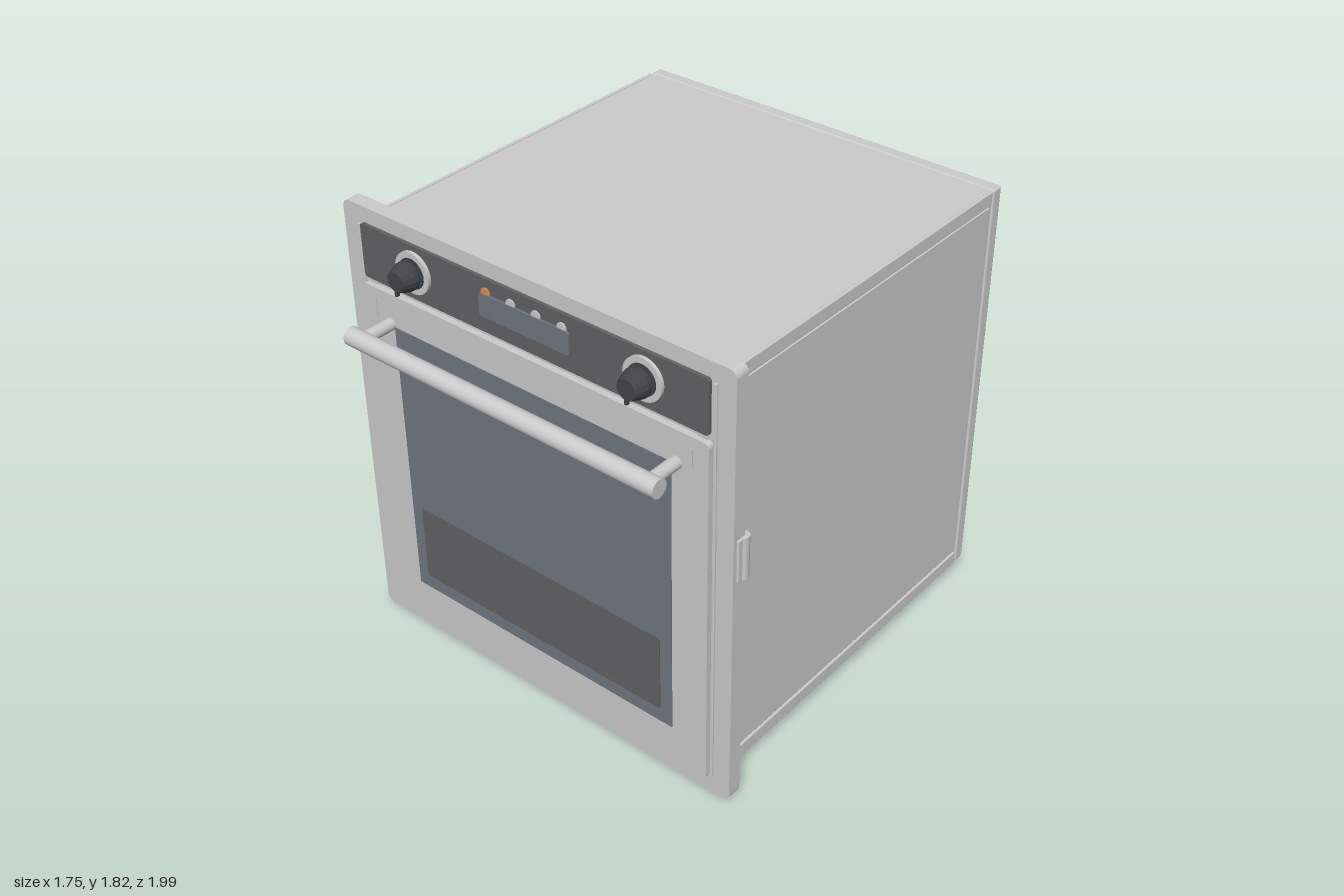
import * as THREE from 'three';
import { RoundedBoxGeometry } from 'three/addons/geometries/RoundedBoxGeometry.js';

const mat = (color) => new THREE.MeshStandardMaterial({ color });
const grey = mat(0xcccccc);
const dark = mat(0x606264);
const black = mat(0x414548);
const glass = mat(0x6e777f);
const orange = mat(0xe08a4a);

export function createModel() {
  const model = new THREE.Group();

  const add = (name, geometry, material, x = 0, y = 0, z = 0) => {
    const mesh = new THREE.Mesh(geometry, material);
    mesh.name = name;
    mesh.position.set(x, y, z);
    model.add(mesh);
    return mesh;
  };

  // box given by its limits on each axis, with softened edges
  const box = (name, material, [x0, x1], [y0, y1], [z0, z1], r = 0.004) =>
    add(name, new RoundedBoxGeometry(x1 - x0, y1 - y0, z1 - z0, 2, r), material,
      (x0 + x1) / 2, (y0 + y1) / 2, (z0 + z1) / 2);

  // upright plate with rounded corners
  const plate = (name, material, [x0, x1], [y0, y1], [z0, z1], r) => {
    const s = new THREE.Shape();
    s.absarc(x1 - r, y1 - r, r, 0, Math.PI / 2);
    s.absarc(x0 + r, y1 - r, r, Math.PI / 2, Math.PI);
    s.absarc(x0 + r, y0 + r, r, Math.PI, Math.PI * 1.5);
    s.absarc(x1 - r, y0 + r, r, Math.PI * 1.5, Math.PI * 2);
    const g = new THREE.ExtrudeGeometry(s, { depth: z1 - z0, bevelEnabled: false, curveSegments: 6 });
    return add(name, g, material, 0, 0, z0);
  };

  // cylinder running along z
  const zCylinder = (name, material, r, x, y, z0, z1, sides = 24) =>
    add(name, new THREE.CylinderGeometry(r, r, z1 - z0, sides).rotateX(Math.PI / 2),
      material, x, y, (z0 + z1) / 2);

  // cabinet
  box('cabinet', grey, [-0.783, 0.783], [0.083, 1.752], [-0.77, 0.745]);
  box('backFrame', grey, [-0.79, 0.79], [0.078, 1.757], [-0.815, -0.762], 0.01);
  for (const s of [-1, 1]) {
    const side = [s * 0.785 - 0.007, s * 0.785 + 0.007];
    box('sidePanel', grey, [s * 0.782 - 0.006, s * 0.782 + 0.006], [0.14, 1.695], [-0.75, 0.735]);
    box('topRail', grey, side, [1.703, 1.757], [-0.752, 0.737]);
    box('bottomRail', grey, side, [0.078, 0.132], [-0.752, 0.737]);
  }

  // rear cover with stiffening strips
  box('rearCover', dark, [-0.745, 0.745], [0.165, 1.67], [-0.855, -0.81], 0.01);
  for (const y of [0.33, 0.89, 1.45])
    box('rearStrip', grey, [-0.65, 0.65], [y - 0.026, y + 0.026], [-0.88, -0.85]);

  // power cable and its gland
  zCylinder('cableGland', grey, 0.042, 0.545, 0.58, -0.876, -0.85);
  const bend = [[0.545, 0.58, -0.86], [0.595, 0.26, -0.975], [0.455, 0.012, -0.922]]
    .map((p) => new THREE.Vector3(...p));
  const cablePath = new THREE.CurvePath();
  cablePath.add(new THREE.LineCurve3(bend[0], bend[1]));
  cablePath.add(new THREE.LineCurve3(bend[1], bend[2]));
  add('cable', new THREE.TubeGeometry(cablePath, 24, 0.02, 10), black);
  add('cableEnd', new THREE.SphereGeometry(0.02, 10, 8), black, ...bend[2].toArray()).scale.y = 0.6;

  // front frame with side trims, latches and feet
  plate('frontFrame', grey, [-0.86, 0.86], [0.02, 1.815], [0.742, 0.8], 0.03);
  for (const s of [-1, 1]) {
    box('sideTrim', grey, [s * 0.784 - 0.006, s * 0.784 + 0.006], [0.1, 1.745], [0.79, 0.808], 0.002);
    box('trimLink', grey, [s * 0.735 - 0.02, s * 0.735 + 0.02], [1.5, 1.57], [0.79, 0.806], 0.002);
    add('latchBarrel', new THREE.CylinderGeometry(0.025, 0.025, 0.17, 16), grey, s * 0.852, 1.085, 0.745);
    box('latchPlate', grey, [s * 0.85 - 0.018, s * 0.85 + 0.018], [1.0, 1.17], [0.74, 0.785]);
    add('foot', new THREE.CylinderGeometry(0.023, 0.023, 0.09, 16), grey, s * 0.605, 0.045, 0.65);
    box('footBracket', grey, [s * 0.605 - 0.03, s * 0.605 + 0.03], [0.062, 0.09], [0.6, 0.675]);
  }

  // door with window and dark lower pane
  plate('door', grey, [-0.775, 0.775], [0.09, 1.525], [0.79, 0.824], 0.02);
  plate('doorWindow', glass, [-0.625, 0.625], [0.25, 1.395], [0.81, 0.826], 0.003);
  plate('lowerPane', dark, [-0.573, 0.573], [0.31, 0.63], [0.815, 0.83], 0.01);

  // door handle
  add('handleBar', new THREE.CylinderGeometry(0.035, 0.035, 1.39, 24).rotateZ(Math.PI / 2), grey, 0, 1.402, 0.965);
  for (const s of [-1, 1]) {
    zCylinder('handlePost', grey, 0.024, s * 0.645, 1.402, 0.81, 0.96, 16);
    box('handleRib', grey, [s * 0.71 - 0.002, s * 0.71 + 0.002], [1.41, 1.48], [0.81, 0.828], 0.001);
  }

  // control panel, buttons and display
  plate('controlPanel', dark, [-0.768, 0.765], [1.545, 1.755], [0.79, 0.813], 0.012);
  [-0.17, -0.057, 0.055, 0.167].forEach((x, i) =>
    zCylinder('button', i ? grey : orange, 0.02, x, 1.702, 0.805, 0.818, 16));
  plate('display', glass, [-0.2, 0.2], [1.61, 1.698], [0.805, 0.821], 0.012);

  // knobs with bezels
  const knobProfile = [[0.0, 0.08], [0.038, 0.08], [0.042, 0.074], [0.055, 0.035], [0.055, 0.018], [0.042, 0.008], [0.042, 0]]
    .map(([r, h]) => new THREE.Vector2(r, h)).reverse();
  for (const s of [-1, 1]) {
    zCylinder('knobBezel', grey, 0.08, s * 0.51, 1.655, 0.805, 0.826, 32);
    zCylinder('knobSkirt', black, 0.058, s * 0.51, 1.655, 0.81, 0.829, 32);
    const knob = new THREE.LatheGeometry(knobProfile, 16).toNonIndexed().rotateX(Math.PI / 2);
    knob.computeVertexNormals();
    add('knob', knob, black, s * 0.51, 1.655, 0.822);
    box('knobPointer', black, [s * 0.51 - 0.006, s * 0.51 + 0.006], [1.6, 1.695], [0.89, 0.905], 0.002);
  }

  return model;
}
